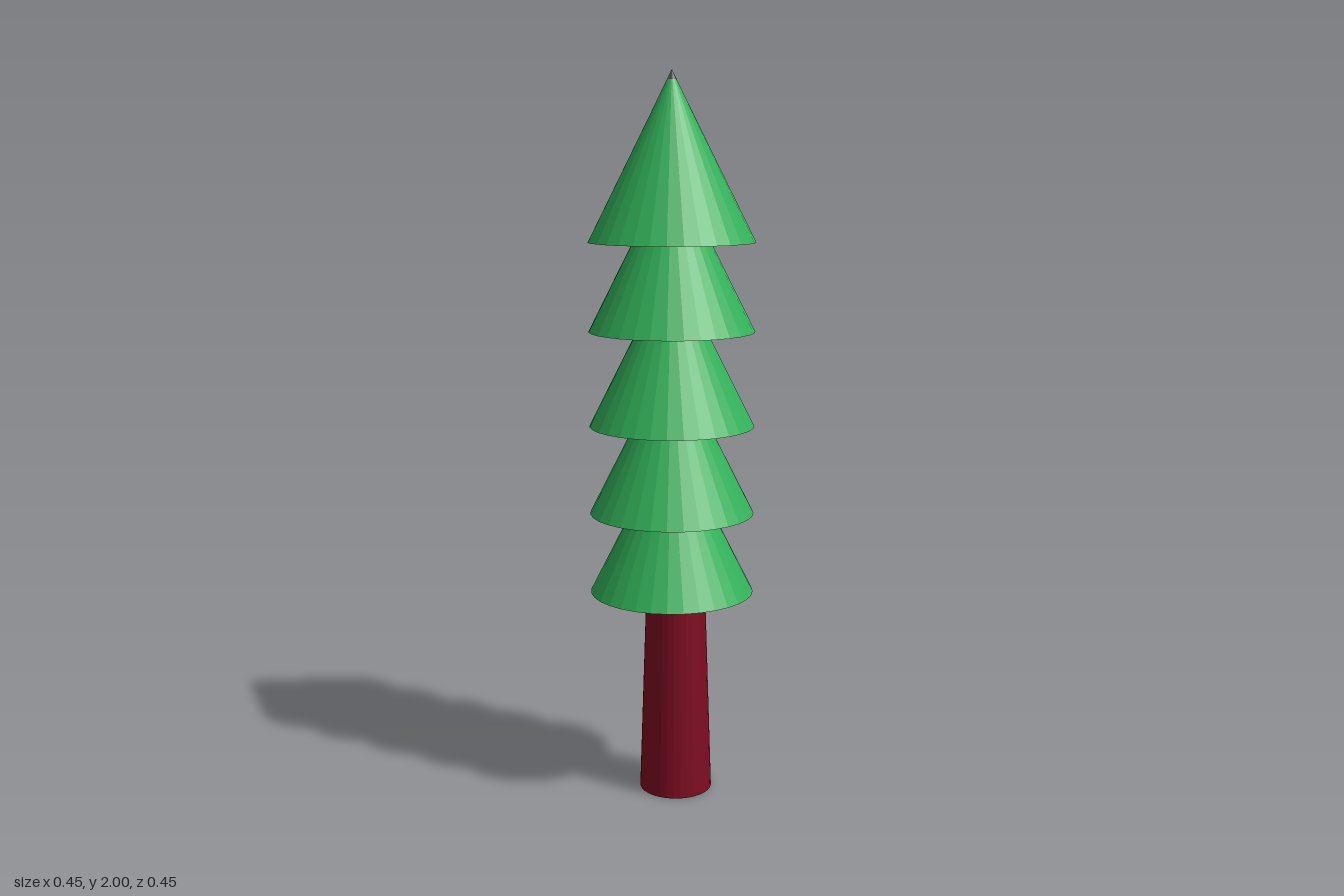
import * as THREE from 'three';

const flat = (name, color) => {
  const m = new THREE.MeshStandardMaterial({ color });
  m.name = name;
  m.flatShading = true;
  return m;
};

export function createModel() {
  const tree = new THREE.Group();
  tree.name = 'tree';
  const green = flat('foliage green', 0x33b25a);
  const red = flat('trunk dark red', 0x7f0d22);
  const tan = flat('wood tan', 0xd8966a);
  const grey = flat('tip grey', 0x4a4a4e);

  const add = (name, geometry, material, x, y, z) => {
    const mesh = new THREE.Mesh(geometry, material);
    mesh.name = name;
    mesh.position.set(x, y, z);
    tree.add(mesh);
  };

  // Tapered trunk, slightly off centre
  add('trunk', new THREE.CylinderGeometry(0.082, 0.102, 0.6, 32), red, 0.012, 0.3, 0);

  // Five equal stacked cones of foliage
  const height = 0.45;
  [0.58, 0.805, 1.05, 1.31, 1.55].forEach((base, i) => {
    add(`foliage${i + 1}`, new THREE.ConeGeometry(0.227, height, 32), green, 0, base + height / 2, 0);
  });

  // Tan cap leaning out of the back left of the summit, with a small grey point beside it
  add('tipCap', new THREE.ConeGeometry(0.04, 0.08, 32), tan, -0.002, 1.959, -0.0008);
  add('tipPoint', new THREE.ConeGeometry(0.0125, 0.025, 32), grey, 0.001, 1.9875, 0.0006);

  return tree;
}
